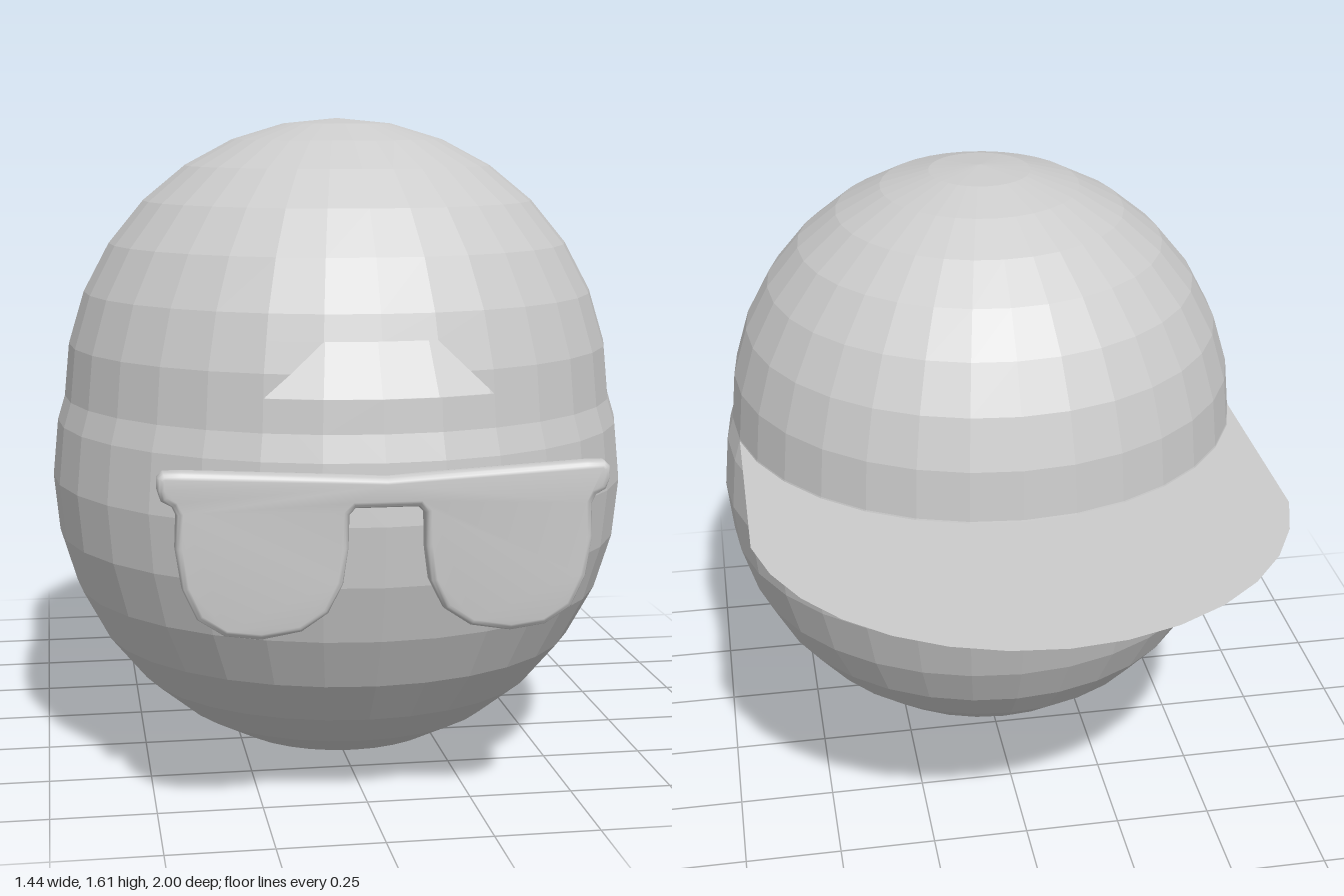
import * as THREE from 'three';
import { toCreasedNormals } from 'three/addons/utils/BufferGeometryUtils.js';

const CENTRE_Z = 0.26, CAP_Y = 0.92, CAP_R = 0.69, SEGMENTS = 32;

function part(name, geometry, options = {}) {
  const mesh = new THREE.Mesh(geometry, new THREE.MeshStandardMaterial({ color: 0xcccccc, ...options }));
  mesh.name = name;
  return mesh;
}

// Half dome with a trapezoid opening at the front
function capGeometry() {
  const rings = [];
  for (let i = 0; i <= 8; i++) {
    const a = (i * Math.PI) / 16;
    rings.push([CAP_R * Math.cos(a), CAP_R * Math.sin(a)]);
  }
  // extra rings lying on the facets, at the bottom and top of the opening
  const between = (a, b, y) => [a[0] + ((b[0] - a[0]) * (y - a[1])) / (b[1] - a[1]), y];
  const low = between(rings[0], rings[1], 0.08);
  const high = between(rings[1], rings[2], 0.205);
  const rows = [rings[0], low, rings[1], high, ...rings.slice(2)];
  const edge = { 1: 2, 2: 1.55, 3: 1 }; // half width of the opening, in columns

  const point = (row, col) => {
    const c = Math.floor(col), t = col - c, [r, y] = rows[row];
    const a = (c * 2 * Math.PI) / SEGMENTS, b = ((c + 1) * 2 * Math.PI) / SEGMENTS;
    return [
      r * (Math.sin(a) * (1 - t) + Math.sin(b) * t), y,
      r * (Math.cos(a) * (1 - t) + Math.cos(b) * t),
    ];
  };
  const positions = [];
  for (let row = 0; row < rows.length - 1; row++) {
    const open = row === 1 || row === 2;
    for (let col = -16; col < 16; col++) {
      if (open && (col === -1 || col === 0)) continue;
      let l0 = col, l1 = col, r0 = col + 1, r1 = col + 1;
      if (open && col === 1) { l0 = edge[row]; l1 = edge[row + 1]; }
      if (open && col === -2) { r0 = -edge[row]; r1 = -edge[row + 1]; }
      const a = point(row, l0), b = point(row, r0), c = point(row + 1, r1), d = point(row + 1, l1);
      positions.push(...a, ...b, ...c, ...a, ...c, ...d);
    }
  }
  const geometry = new THREE.BufferGeometry();
  geometry.setAttribute('position', new THREE.Float32BufferAttribute(positions, 3));
  geometry.computeVertexNormals();
  return geometry;
}

// Flat sheet: straight sides and a round end
function brimGeometry() {
  const points = [new THREE.Vector2(0.677, -0.125)];
  for (let i = 1; i <= 15; i++) {
    const a = (i * Math.PI) / 16;
    points.push(new THREE.Vector2(CAP_R * Math.cos(a), 0.31 + CAP_R * Math.sin(a)));
  }
  points.push(new THREE.Vector2(-0.677, -0.125));
  return new THREE.ShapeGeometry(new THREE.Shape(points)).rotateX(-Math.PI / 2);
}

// One-piece glasses: half an outline, mirrored, with a rounded rim
function glassesGeometry() {
  const half = [
    [0.07, 0.768], [0.083, 0.755], [0.085, 0.68], [0.097, 0.6], [0.13, 0.535], [0.19, 0.495],
    [0.28, 0.48], [0.36, 0.491], [0.42, 0.53], [0.452, 0.6], [0.466, 0.69], [0.463, 0.765],
    [0.472, 0.783], [0.495, 0.796], [0.503, 0.82], [0.503, 0.848], [0.49, 0.86], [0.45, 0.86],
  ];
  const mirrored = half.map(([x, y]) => [-x, y]).reverse();
  const outline = [...half, [0, 0.836], ...mirrored].map(([x, y]) => new THREE.Vector2(x, y));
  const geometry = new THREE.ExtrudeGeometry(new THREE.Shape(outline), {
    depth: 0.019, bevelThickness: 0.018, bevelSize: 0.015, bevelOffset: -0.015, bevelSegments: 4,
  });
  return toCreasedNormals(geometry.translate(0, 0, 0.963), 0.9);
}

export function createModel() {
  const model = new THREE.Group();
  model.name = 'headWithCap';

  const head = part('head', new THREE.SphereGeometry(0.722, SEGMENTS, 16), { flatShading: true });
  head.position.set(0, 0.722, CENTRE_Z);

  // Cap worn backwards, brim at the rear
  const cap = new THREE.Group();
  cap.name = 'cap';
  cap.position.y = CAP_Y;
  const crown = part('capCrown', capGeometry(), { flatShading: true, side: THREE.DoubleSide });
  crown.position.z = CENTRE_Z;
  cap.add(crown, part('capBrim', brimGeometry(), { side: THREE.DoubleSide }));

  model.add(head, cap, part('glasses', glassesGeometry()));
  return model;
}
